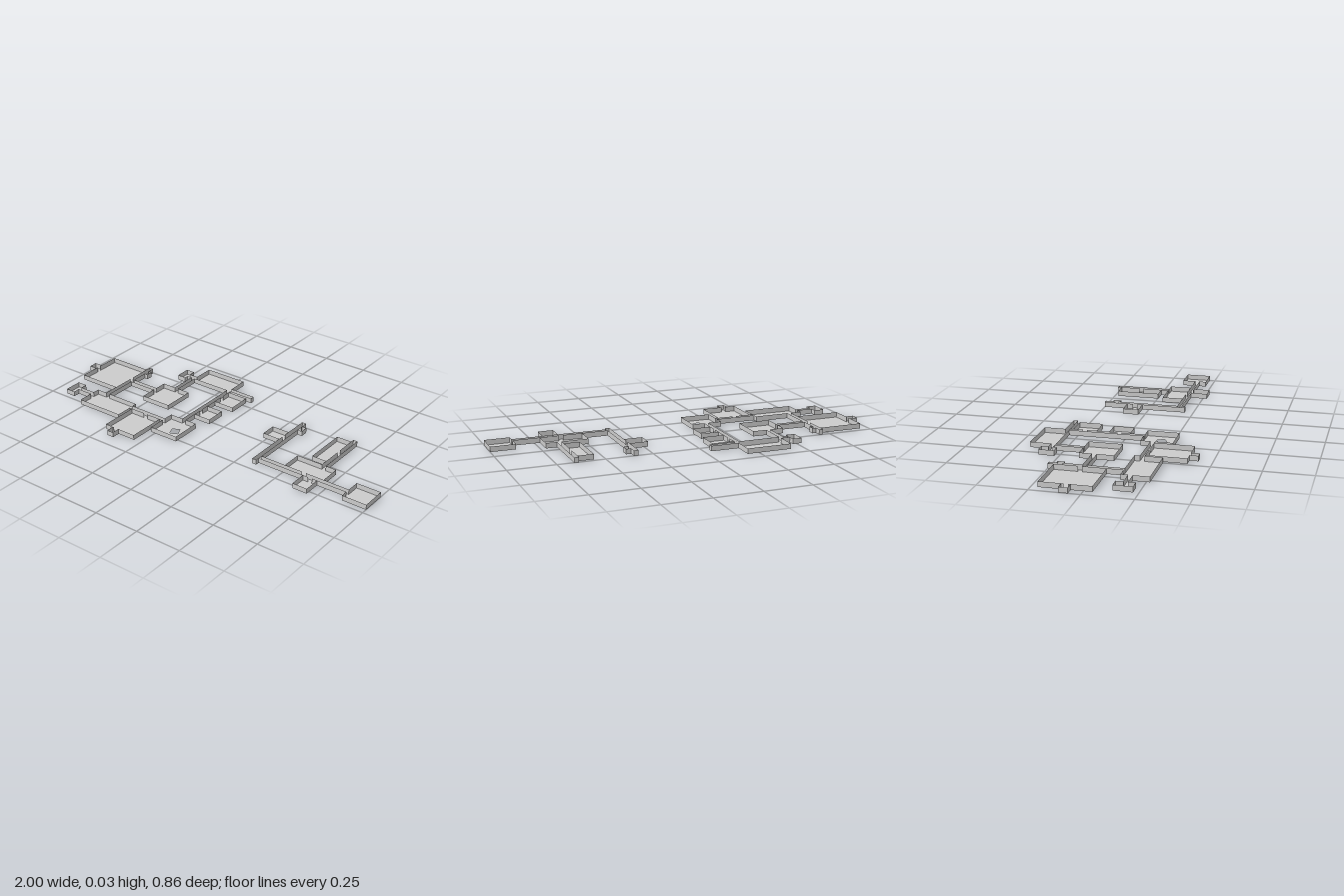
import * as THREE from 'three';
import { mergeGeometries } from 'three/addons/utils/BufferGeometryUtils.js';

const WALL_HEIGHT = 0.028;
const DOOR_WIDTH = 0.022;

// Floor plan: name, x min, x max, z min, z max
const PLAN = [
  // larger, western block
  ['westHall', -0.955, -0.713, -0.217, 0.043],
  ['westAlcove', -1, -0.955, -0.105, -0.06],
  ['westCorridor', -0.713, -0.69, -0.247, 0.126],
  ['westCorridorNiche', -0.69, -0.67, -0.21, -0.173],
  ['middleCorridor', -0.69, -0.527, -0.081, -0.057],
  ['middleRoom', -0.527, -0.353, -0.147, 0.031],
  ['northLinkCorridor', -0.45, -0.428, -0.296, -0.147],
  ['northWestPassage', -0.478, -0.428, -0.32, -0.296],
  ['northWestCloset', -0.527, -0.478, -0.355, -0.274],
  ['northHall', -0.428, -0.187, -0.431, -0.296],
  ['northEastPassage', -0.187, -0.037, -0.32, -0.296],
  ['eastCorridor', -0.2, -0.178, -0.296, 0.1],
  ['eastUpperRoom', -0.178, -0.06, -0.28, -0.155],
  ['eastLowerRoom', -0.178, -0.08, -0.088, 0.022],
  ['pitRoom', -0.275, -0.11, 0.1, 0.267],
  ['southCorridor', -0.5, -0.275, 0.153, 0.176],
  ['southWestRoom', -0.773, -0.5, 0.126, 0.267],
  ['southWestPassage', -0.863, -0.773, 0.163, 0.185],
  ['southWestCloset', -0.917, -0.863, 0.126, 0.222],
  ['southRoom', -0.484, -0.294, 0.176, 0.385],
  ['southAlcove', -0.436, -0.398, 0.385, 0.429],
  // smaller, eastern block
  ['annexCorridor', 0.329, 0.353, -0.249, 0.203],
  ['annexNiche', 0.353, 0.38, -0.21, -0.168],
  ['annexWestRoom', 0.23, 0.329, -0.12, -0.035],
  ['annexSouthCorridor', 0.353, 0.866, 0.157, 0.181],
  ['annexEastRoom', 0.866, 1, 0.085, 0.219],
  ['annexMainRoom', 0.495, 0.722, 0.043, 0.157],
  ['annexSouthRoom', 0.618, 0.7, 0.181, 0.272],
  ['annexNorthCorridor', 0.639, 0.663, -0.254, 0.043],
  ['annexLongRoom', 0.556, 0.639, -0.232, 0.003],
].map(([name, x0, x1, z0, z1]) => ({ name, x: [x0, x1], z: [z0, z1] }));

// Tilted square pit in one floor
const PIT = [[-0.206, 0.179], [-0.168, 0.16], [-0.15, 0.2], [-0.19, 0.219]];

function floorGeometry({ name, x, z }) {
  const points = [[x[0], z[0]], [x[0], z[1]], [x[1], z[1]], [x[1], z[0]]];
  const toShape = ([px, pz]) => new THREE.Vector2(px, -pz);
  const shape = new THREE.Shape(points.map(toShape));
  if (name === 'pitRoom') shape.holes.push(new THREE.Path(PIT.map(toShape)));
  return new THREE.ShapeGeometry(shape).rotateX(-Math.PI / 2);
}

// Upright panel from a to b along one axis, at a fixed place on the other
function panel(along, at, a, b, outward) {
  const g = new THREE.PlaneGeometry(b - a, WALL_HEIGHT);
  if (along === 'x') {
    if (outward < 0) g.rotateY(Math.PI);
    return g.translate((a + b) / 2, WALL_HEIGHT / 2, at);
  }
  g.rotateY(outward * Math.PI / 2);
  return g.translate(at, WALL_HEIGHT / 2, (a + b) / 2);
}

// Walls along one side, with a doorway wherever a neighbour touches it
function sideWalls(room, along, side) {
  const across = along === 'x' ? 'z' : 'x';
  const at = room[across][side];
  const [start, end] = room[along];
  const doors = [];
  for (const other of PLAN) {
    if (other === room || Math.abs(other[across][1 - side] - at) > 1e-4) continue;
    const a = Math.max(start, other[along][0]);
    const b = Math.min(end, other[along][1]);
    if (b - a < 0.003) continue;
    const half = Math.min(b - a, DOOR_WIDTH) / 2;
    doors.push([(a + b) / 2 - half, (a + b) / 2 + half]);
  }
  doors.sort((p, q) => p[0] - q[0]);
  const walls = [];
  let from = start;
  for (const [a, b] of [...doors, [end, end]]) {
    if (a - from > 1e-4) walls.push(panel(along, at, from, a, side ? 1 : -1));
    from = Math.max(from, b);
  }
  return walls;
}

export function createModel() {
  const model = new THREE.Group();
  model.name = 'floorPlan';
  const material = new THREE.MeshStandardMaterial({ color: 0xcccccc, side: THREE.DoubleSide });
  for (const room of PLAN) {
    const group = new THREE.Group();
    group.name = room.name;
    const floor = new THREE.Mesh(floorGeometry(room), material);
    floor.name = 'floor';
    const panels = ['x', 'z'].flatMap((axis) => [0, 1].flatMap((side) => sideWalls(room, axis, side)));
    const walls = new THREE.Mesh(mergeGeometries(panels), material);
    walls.name = 'walls';
    group.add(floor, walls);
    model.add(group);
  }
  return model;
}
